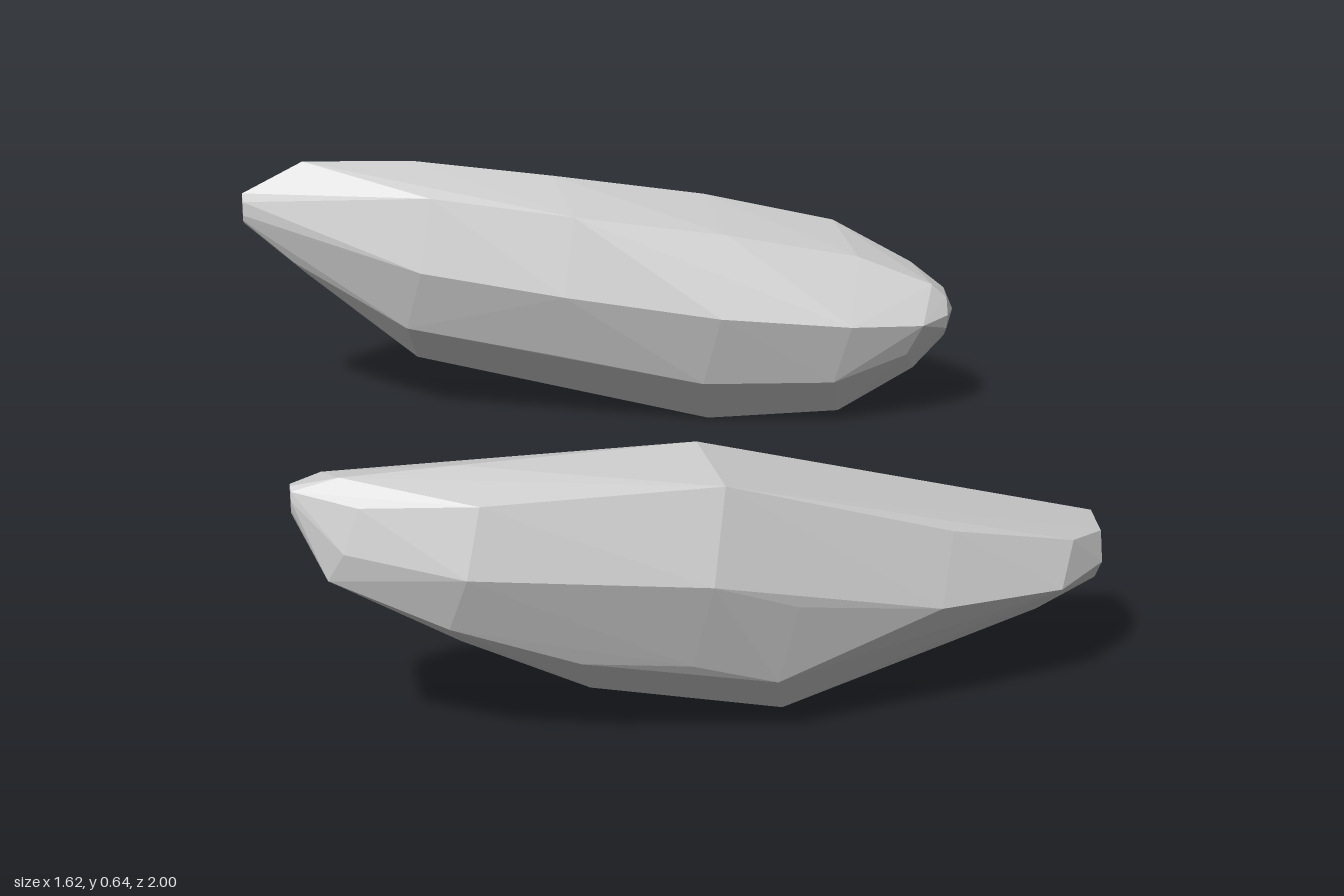
import * as THREE from 'three';
import { ConvexGeometry } from 'three/addons/geometries/ConvexGeometry.js';

// Stations along x: [x, frontZ, frontY, backZ, backY, topZ, topY, bottomZ, bottomY]
const FRONT_ROCK = [
  [-0.81, 0.855, 0.56, 0.825, 0.57, 0.84, 0.585, 0.84, 0.53],
  [-0.72, 0.91, 0.47, 0.79, 0.53, 0.85, 0.60, 0.86, 0.39],
  [-0.50, 0.975, 0.43, 0.725, 0.45, 0.84, 0.605, 0.85, 0.245],
  [-0.25, 0.97, 0.38, 0.675, 0.38, 0.81, 0.59, 0.82, 0.11],
  [-0.04, 0.995, 0.39, 0.62, 0.34, 0.79, 0.60, 0.81, 0.07],
  [0.13, 0.96, 0.32, 0.58, 0.30, 0.74, 0.53, 0.81, 0.03],
  [0.42, 0.91, 0.27, 0.53, 0.25, 0.70, 0.44, 0.68, 0.06],
  [0.68, 0.825, 0.25, 0.525, 0.22, 0.66, 0.355, 0.64, 0.13],
  [0.785, 0.735, 0.26, 0.535, 0.23, 0.64, 0.33, 0.62, 0.17],
];
const BACK_ROCK = [
  [-0.81, -0.80, 0.53, -0.825, 0.54, -0.81, 0.58, -0.81, 0.51],
  [-0.67, -0.775, 0.48, -0.915, 0.48, -0.83, 0.642, -0.83, 0.37],
  [-0.42, -0.68, 0.41, -0.985, 0.40, -0.83, 0.63, -0.82, 0.15],
  [-0.10, -0.605, 0.36, -1.0, 0.33, -0.79, 0.59, -0.77, 0.085],
  [0.25, -0.54, 0.31, -0.92, 0.29, -0.78, 0.53, -0.70, 0.0],
  [0.55, -0.517, 0.28, -0.84, 0.28, -0.75, 0.46, -0.65, 0.02],
  [0.72, -0.527, 0.27, -0.75, 0.26, -0.67, 0.375, -0.62, 0.13],
  [0.785, -0.56, 0.28, -0.65, 0.28, -0.61, 0.33, -0.59, 0.22],
];

// Eight-sided section: four extremes with a chamfer point between each pair.
// Fullness sets how far each of the four chamfers bulges.
function section([x, fz, fy, bz, by, tz, ty, oz, oy], stagger, fullness) {
  const ends = [[fz, fy], [tz, ty], [bz, by], [oz, oy]];
  const cz = (fz + bz + tz + oz) / 4;
  const cy = (fy + by + ty + oy) / 4;
  return ends.flatMap((a, j) => {
    const b = ends[(j + 1) % 4];
    const k = fullness[j];
    return [
      new THREE.Vector3(x, a[1], a[0]),
      new THREE.Vector3(
        x + (j % 2 ? -stagger : stagger),
        cy + k * (a[1] + b[1] - 2 * cy),
        cz + k * (a[0] + b[0] - 2 * cz)),
    ];
  });
}

// Faceted convex skin stretched over the sections and a blunt tip
function createRock(name, stations, fullness, tip) {
  const last = stations.length - 1;
  const points = stations.flatMap((s, i) =>
    section(s, i === 0 || i === last ? 0 : 0.03, fullness));
  points.push(tip);
  const mesh = new THREE.Mesh(
    new ConvexGeometry(points),
    new THREE.MeshStandardMaterial({ color: 0xcccccc, flatShading: true }));
  mesh.name = name;
  return mesh;
}

export function createModel() {
  const group = new THREE.Group();
  group.name = 'rockPair';
  group.add(createRock('frontRock', FRONT_ROCK,
    [0.76, 0.72, 0.64, 0.64], new THREE.Vector3(0.81, 0.28, 0.63)));
  group.add(createRock('backRock', BACK_ROCK,
    [0.72, 0.74, 0.67, 0.6], new THREE.Vector3(0.805, 0.28, -0.6)));
  return group;
}
